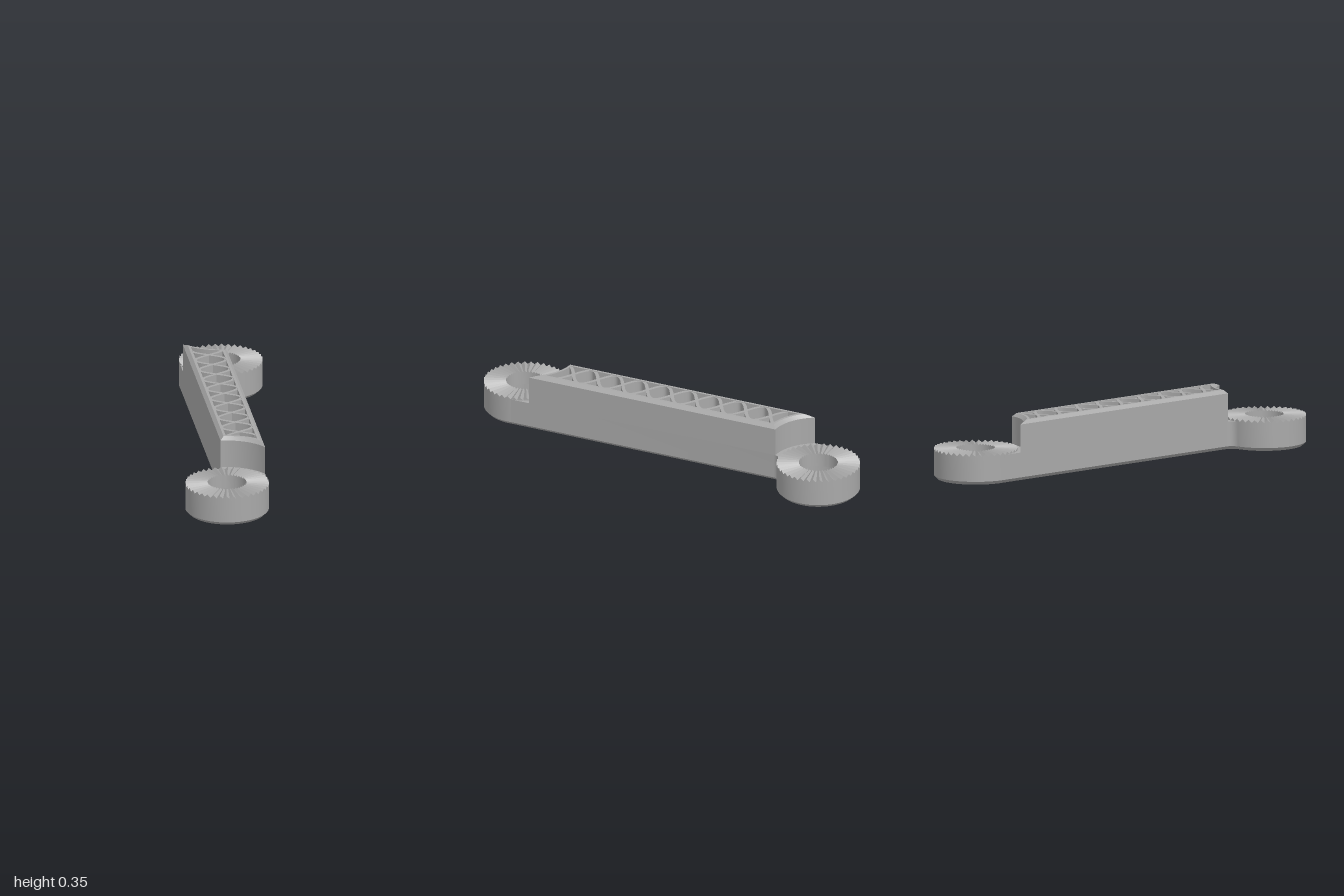
import * as THREE from 'three';
import { toCreasedNormals } from 'three/addons/utils/BufferGeometryUtils.js';

// Local frame: X runs along the bar, Z across it, Y up.
const END = 1.009, SIDE = 0.122;      // ring centre along and across the bar
const RING = 0.245, HALF = 0.122;     // ring radius, bar half width
const WALL = 0.035, CHAMFER = 0.02;

const V = (x, y) => new THREE.Vector2(x, y);
// Repeat one end of an outline turned half round to close the loop
const bothEnds = (pts) => [...pts, ...pts.map((p) => V(-p.x, -p.y))];

function arc(cx, cy, r, a0, a1, steps) {
  const pts = [];
  for (let i = 0; i <= steps; i++) {
    const a = a0 + (a1 - a0) * i / steps;
    pts.push(V(cx + r * Math.cos(a), cy + r * Math.sin(a)));
  }
  return pts;
}

// Straight bar with concave ends around the rings, inset by d
function barOutline(d) {
  const r = 0.28 + d, h = HALF - d;
  return bothEnds(arc(END, SIDE, r,
    Math.PI + Math.asin((h + SIDE) / r), Math.PI + Math.asin((SIDE - h) / r), 14));
}

// Low bar that runs on into the rings: tangent on one side, filleted on the other
function baseOutline(d) {
  const f = 0.05, x = Math.sqrt((RING + f) ** 2 - f * f);
  return bothEnds([
    V(END, d - HALF),
    ...arc(END, SIDE, 0.2, Math.PI * 1.5, Math.PI - 0.2, 12),
    ...arc(END - x, SIDE + f, f + d, Math.atan2(-f, x), -Math.PI / 2, 7),
  ]);
}

function finish(pos) {
  const g = new THREE.BufferGeometry();
  g.setAttribute('position', new THREE.Float32BufferAttribute(pos, 3));
  return toCreasedNormals(g, 0.5);
}

// Upright prism through layers of [height, inset], with an optional straight hole
function prism(outline, layers, hole) {
  const pos = [];
  const put = (p, y) => pos.push(p.x, y, p.y);
  const strip = (lo, y0, hi, y1, inward) => {
    lo.forEach((a, i) => {
      const j = (i + 1) % lo.length;
      const q = [[a, y0], [hi[i], y1], [hi[j], y1], [lo[j], y0]];
      if (inward) q.reverse();
      [0, 1, 2, 0, 2, 3].forEach((k) => put(...q[k]));
    });
  };
  const cap = (loop, y, up) => {
    const all = hole ? [...loop, ...hole] : loop;
    for (const [i, j, k] of THREE.ShapeUtils.triangulateShape([...loop], hole ? [[...hole]] : [])) {
      const a = all[i], b = all[j], c = all[k];
      const ccw = (b.x - a.x) * (c.y - a.y) - (b.y - a.y) * (c.x - a.x) > 0;
      (ccw === up ? [a, c, b] : [a, b, c]).forEach((p) => put(p, y));
    }
  };
  const loops = layers.map(([, d]) => outline(d));
  for (let i = 0; i + 1 < layers.length; i++) strip(loops[i], layers[i][0], loops[i + 1], layers[i + 1][0], false);
  const y0 = layers[0][0], y1 = layers[layers.length - 1][0];
  if (hole) strip(hole, y0, hole, y1, true);
  cap(loops[0], y0, false);
  cap(loops[loops.length - 1], y1, true);
  return finish(pos);
}

// Ring with radial teeth on top and a wider recess underneath
function toothedRing(teeth) {
  const pos = [], n = teeth * 2;
  const section = (i) => {
    const a = i / n * Math.PI * 2, peak = i % 2 === 0;
    return [
      [0.153, 0], [RING - CHAMFER, 0], [RING, CHAMFER], [RING, peak ? 0.185 : 0.168],
      [0.115, peak ? 0.185 : 0.176], [0.115, 0.1], [0.153, 0.1],
    ].map(([r, y]) => [r * Math.cos(a), y, r * Math.sin(a)]);
  };
  for (let i = 0; i < n; i++) {
    const s = section(i), t = section((i + 1) % n);
    s.forEach((p, k) => {
      const m = (k + 1) % s.length;
      pos.push(...p, ...s[m], ...t[m], ...p, ...t[m], ...t[k]);
    });
  }
  return finish(pos);
}

// Wavy rib running the length of the cavity
function waveOutline(sign) {
  const left = [], right = [], k = Math.PI / 0.16, t = 0.01;
  for (let i = 0; i <= 108; i++) {
    const u = -0.71 + 1.42 * i / 108;
    const w = sign * 0.092 * Math.sin(k * u);
    const slope = sign * 0.092 * k * Math.cos(k * u);
    const len = Math.hypot(1, slope);
    right.push(V(u + t * slope / len, w - t / len));
    left.push(V(u - t * slope / len, w + t / len));
  }
  return [...right, ...left.reverse()];
}

export function createModel() {
  const model = new THREE.Group();
  model.name = 'toothedLinkArm';
  const grey = new THREE.MeshStandardMaterial({ color: 0xa8a8a8 });
  grey.name = 'grey';

  const add = (parent, name, geometry) => {
    const mesh = new THREE.Mesh(geometry, grey);
    mesh.name = name;
    parent.add(mesh);
    return mesh;
  };

  const arm = new THREE.Group();
  arm.name = 'arm';
  arm.rotation.y = 0.958;
  model.add(arm);

  // Hollow bar: low base reaching the rings, and the taller beam above it
  const cavity = barOutline(WALL);
  add(arm, 'base', prism(baseOutline, [[0, CHAMFER], [CHAMFER, 0], [0.168, 0]], cavity));
  add(arm, 'beam', prism(barOutline, [[0.168, 0], [0.335, 0], [0.355, CHAMFER]], cavity));

  // Crossing wave ribs
  for (const sign of [1, -1]) {
    add(arm, 'latticeRib', prism(() => waveOutline(sign), [[0.002, 0], [0.352, 0]]));
  }

  // Toothed rings, each with three small keys in the recess
  const ringGeometry = toothedRing(40);
  const keyGeometry = new THREE.BoxGeometry(0.045, 0.08, 0.03);
  for (const s of [1, -1]) {
    const end = new THREE.Group();
    end.name = 'ringEnd';
    end.position.set(s * END, 0, s * SIDE);
    end.rotation.y = s > 0 ? 0 : Math.PI;
    add(end, 'toothedRing', ringGeometry);
    for (let i = 0; i < 3; i++) {
      const a = Math.PI + 0.12 + i * Math.PI * 2 / 3;
      const key = add(end, 'recessKey', keyGeometry);
      key.position.set(0.139 * Math.cos(a), 0.065, 0.139 * Math.sin(a));
      key.rotation.y = -a;
    }
    arm.add(end);
  }
  return model;
}
